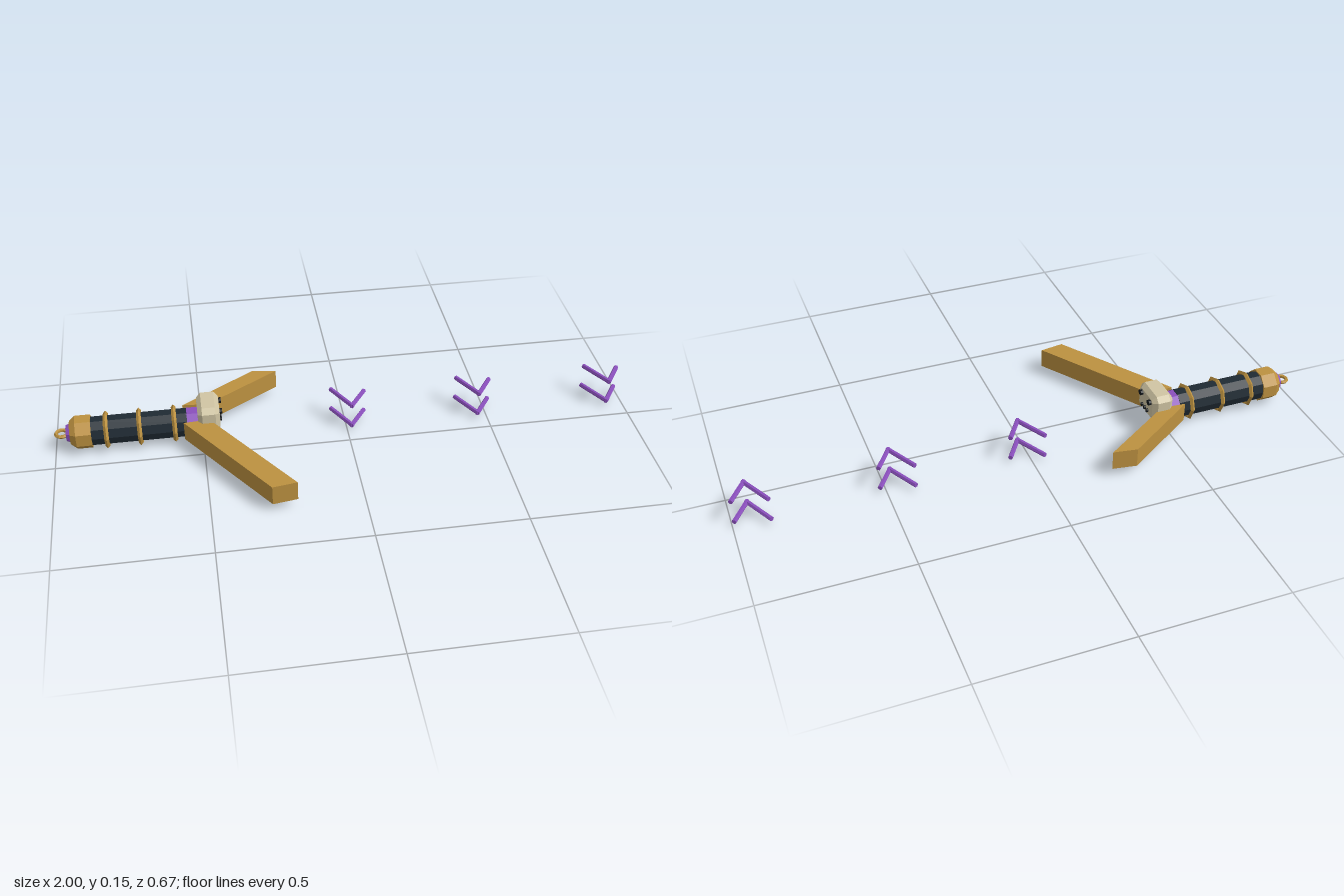
import * as THREE from 'three';

const mat = (name, color) => {
  const m = new THREE.MeshStandardMaterial({ color, flatShading: true });
  m.name = name;
  return m;
};

export function createModel() {
  const gold = mat('gold', 0xbc9140);
  const purple = mat('purple', 0x8a4fbc);
  const dark = mat('darkGrip', 0x1f2a33);
  const bone = mat('bone', 0xd0c5a3);
  const black = mat('black', 0x14181c);

  const model = new THREE.Group();
  const AY = 0.066, AZ = -0.106; // axis of the handle

  function add(name, geo, material, parent = model) {
    const mesh = new THREE.Mesh(geo, material);
    mesh.name = name;
    parent.add(mesh);
    return mesh;
  }

  // Faceted cylinder along x on the handle axis, from x0 (radius r0) to x1 (radius r1)
  function rod(name, x0, r0, x1, r1, sides, material, turn = 0) {
    const g = new THREE.CylinderGeometry(r1, r0, x1 - x0, sides);
    g.rotateY(turn);
    g.rotateZ(-Math.PI / 2);
    g.translate((x0 + x1) / 2, AY, AZ);
    return add(name, g, material);
  }

  // Grip with binding rings
  rod('grip', -0.88, 0.051, -0.55, 0.051, 10, dark);
  for (const x of [-0.823, -0.711, -0.593]) {
    const g = new THREE.TorusGeometry(0.057, 0.008, 4, 8);
    g.rotateY(Math.PI / 2);
    g.translate(x, AY, AZ);
    add('gripRing', g, gold);
  }

  // Pommel: gold cap, gem and end loop
  const T = Math.PI / 8;
  rod('pommelBody', -0.925, 0.058, -0.873, 0.058, 8, gold, T);
  rod('pommelTaper', -0.945, 0.042, -0.925, 0.058, 8, gold, T);
  rod('pommelGem', -0.958, 0.028, -0.935, 0.037, 8, purple, T);
  const loop = new THREE.TorusGeometry(0.02, 0.0065, 5, 10);
  loop.rotateX(Math.PI / 2);
  loop.translate(-0.9735, AY, AZ);
  add('pommelLoop', loop, gold);

  // Collar between the grip and the skull
  rod('collar', -0.555, 0.05, -0.485, 0.05, 8, purple, T);

  // Guard wings: slanted bars in plan, [x, z] corners
  function wing(name, corners) {
    const shape = new THREE.Shape(corners.map(([x, z]) => new THREE.Vector2(x, -z)));
    const g = new THREE.ExtrudeGeometry(shape, { depth: 0.069, bevelEnabled: false });
    g.rotateX(-Math.PI / 2);
    g.translate(0, 0.03, 0);
    add(name, g, gold);
  }
  wing('frontWing', [[-0.562, -0.056], [-0.475, -0.062], [-0.22, 0.32], [-0.303, 0.333]]);
  wing('backWing', [[-0.562, -0.16], [-0.475, -0.153], [-0.22, -0.32], [-0.303, -0.333]]);

  // Chamfered skull with eyes and nostrils facing +x
  const skull = new THREE.Group();
  skull.name = 'skull';
  model.add(skull);
  const w = 0.05, h = 0.035, c = 0.009;
  const outline = [[-w + c, -h], [w - c, -h], [w, -h + c], [w, h - c],
    [w - c, h], [-w + c, h], [-w, h - c], [-w, -h + c]];
  const head = new THREE.ExtrudeGeometry(
    new THREE.Shape(outline.map(p => new THREE.Vector2(...p))),
    { depth: 0.045, bevelSize: 0.015, bevelThickness: 0.015, bevelSegments: 1 });
  head.rotateY(Math.PI / 2);
  head.translate(-0.498, 0.1, AZ);
  add('head', head, bone, skull);

  function socket(name, y, dz, height, width, x) {
    const g = new THREE.CylinderGeometry(0.5, 0.5, 0.018, 8);
    g.rotateY(T);
    g.rotateZ(-Math.PI / 2);
    g.scale(1, height / 0.924, width / 0.924);
    g.translate(x, y, AZ + dz);
    add(name, g, black, skull);
  }
  for (const s of [-1, 1]) socket('eye', 0.122, s * 0.032, 0.018, 0.021, -0.438);
  for (const s of [-1, 0, 1]) socket('nostril', 0.08, s * 0.0195, 0.013, 0.01, -0.44);

  // Floating chevrons: two stacked rows of thin bent bars
  function bar(a, b, parent) {
    const from = new THREE.Vector3(a[0], 0, a[1]);
    const dir = new THREE.Vector3(b[0], 0, b[1]).sub(from);
    const g = new THREE.CylinderGeometry(0.0083, 0.0083, dir.length(), 6);
    const m = add('chevronBar', g, purple, parent);
    m.position.copy(from).addScaledVector(dir, 0.5);
    m.quaternion.setFromUnitVectors(new THREE.Vector3(0, 1, 0), dir.normalize());
  }
  for (const x of [0, 0.45, 0.922]) {
    for (const y of [0.105, 0.023]) {
      const chevron = new THREE.Group();
      chevron.name = 'chevron';
      chevron.position.set(x, y, 0);
      bar([-0.043, -0.167], [0.018, -0.053], chevron);
      bar([0.013, -0.053], [0.071, -0.14], chevron);
      model.add(chevron);
    }
  }
  return model;
}
